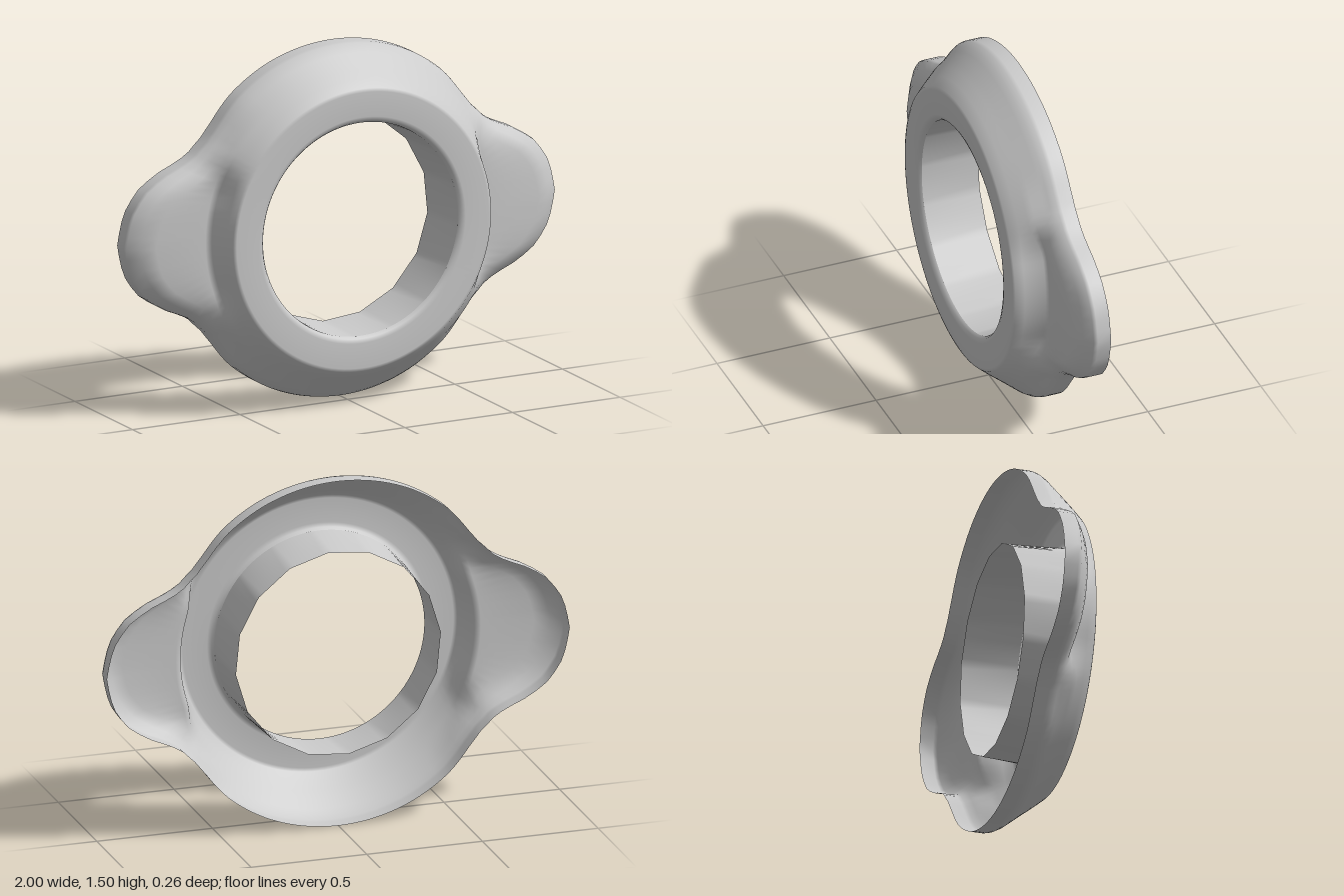
import * as THREE from 'three';

const COLUMNS = 128, CENTRE_Y = 0.75, DEG = Math.PI / 180;
const lerp = THREE.MathUtils.lerp;

// outline radius against angle away from the lug axis (degrees)
const OUTLINE = [[0, 1], [7.6, 0.98], [13.6, 0.936], [18.9, 0.867], [24, 0.79], [28, 0.758],
  [34, 0.737], [40, 0.735], [50, 0.747], [65, 0.75], [90, 0.75]];

function outlineRadius(deg) {
  let i = 0;
  while (i < OUTLINE.length - 2 && OUTLINE[i + 1][0] < deg) i++;
  const [a, ra] = OUTLINE[i], [b, rb] = OUTLINE[i + 1];
  return lerp(ra, rb, (deg - a) / (b - a));
}

// sixteen-sided radius for the rear edge of the hole
function polygonRadius(angle) {
  const step = Math.PI / 8, offset = 16.875 * DEG;
  const t = (((angle - offset) % step) + step) % step;
  return 0.445 * Math.cos(step / 2) / Math.cos(t - step / 2);
}

// sweep a section of [radius, z] points, which may vary with angle, around the hole
function sweep(name, section, material) {
  const positions = [], index = [];
  let rows = 0;
  for (let j = 0; j < COLUMNS; j++) {
    const angle = (j / COLUMNS) * Math.PI * 2;
    const points = section(angle);
    rows = points.length;
    for (const [r, z] of points) positions.push(r * Math.cos(angle), CENTRE_Y + r * Math.sin(angle), z);
  }
  for (let j = 0; j < COLUMNS; j++) {
    const p = j * rows, q = ((j + 1) % COLUMNS) * rows;
    for (let i = 0; i < rows - 1; i++) {
      index.push(p + i, p + i + 1, q + i + 1, p + i, q + i + 1, q + i);
    }
  }
  const geometry = new THREE.BufferGeometry();
  geometry.setAttribute('position', new THREE.Float32BufferAttribute(positions, 3));
  geometry.setIndex(index);
  geometry.computeVertexNormals();
  const mesh = new THREE.Mesh(geometry, material);
  mesh.name = name;
  return mesh;
}

// ring slope, easing into a flat lug on each side
function shellSection(angle) {
  const deg = Math.atan2(Math.abs(Math.sin(angle)), Math.abs(Math.cos(angle))) / DEG;
  const R = outlineRadius(deg);
  const w = 1 - THREE.MathUtils.smoothstep(deg, 17, 33);
  const blend = (ring, lug) => [lerp(ring[0], lug[0], w), lerp(ring[1], lug[1], w)];
  return [
    [0.453, 0.112], [0.462, 0.125], [0.48, 0.131], [0.585, 0.132], [0.6, 0.127],
    blend([0.632, 0.09], [0.612, 0.09]),
    blend([0.66, 0.055], [0.635, 0.008]),
    blend([0.68, 0.03], [0.66, 0]),
    blend([R - 0.035, -0.012], [Math.max(R - 0.11, 0.67), 0]),
    blend([R - 0.018, -0.033], [R - 0.05, -0.03]),
    [R - 0.004, -0.058],
    [R, -0.075],
    [R, -0.133],
  ];
}

export function createModel() {
  const group = new THREE.Group();
  group.name = 'ringWithLugs';
  const material = new THREE.MeshStandardMaterial({ color: 0xcccccc, side: THREE.DoubleSide });

  // hollow front shell, open at the back
  group.add(sweep('ringShell', shellSection, material));

  // thin sleeve lining the hole
  group.add(sweep('holeSleeve', (angle) => [[polygonRadius(angle), -0.133], [0.453, 0.112]], material));
  return group;
}
